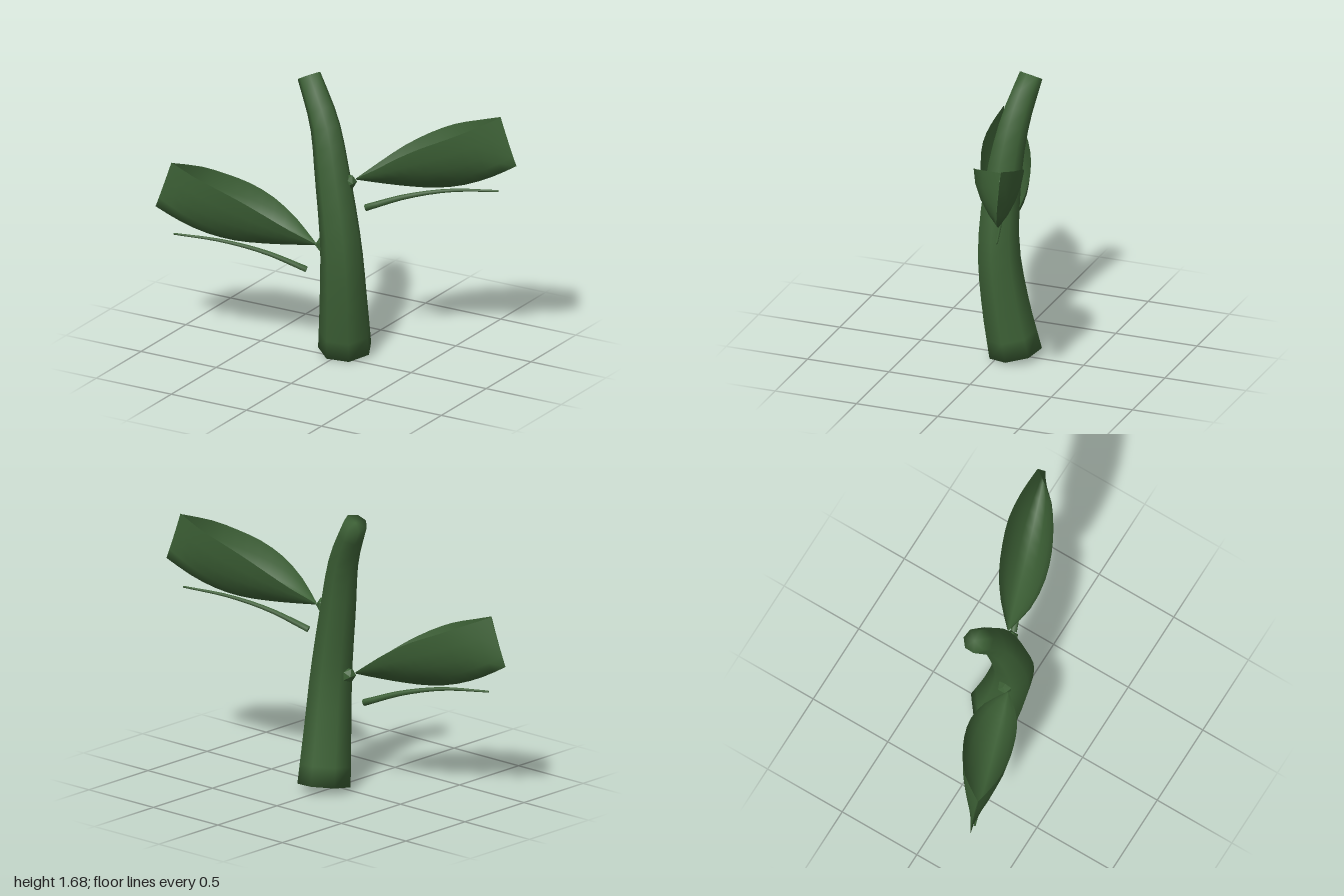
import * as THREE from 'three';

const green = new THREE.MeshStandardMaterial({ color: 0x3d6136, side: THREE.DoubleSide });
green.name = 'leafGreen';

const curve = (pts) => new THREE.CatmullRomCurve3(pts.map((p) => new THREE.Vector3(...p)));

function meshFrom(positions, index, name) {
  const g = new THREE.BufferGeometry();
  g.setAttribute('position', new THREE.Float32BufferAttribute(positions, 3));
  g.setIndex(index);
  g.computeVertexNormals();
  const mesh = new THREE.Mesh(g, green);
  mesh.name = name;
  return mesh;
}

// Tapered tube with softly shaded, closed ends
function taperedTube(path, radius, sides, steps, name) {
  const pos = [], idx = [];
  for (let i = 0; i <= steps; i++) {
    const t = i / steps;
    const c = path.getPoint(t), dir = path.getTangent(t);
    const u = new THREE.Vector3(0, 0, 1).projectOnPlane(dir).normalize();
    const v = dir.clone().cross(u);
    for (let j = 0; j < sides; j++) {
      const a = Math.PI / 2 + (j / sides) * Math.PI * 2, r = radius(t);
      pos.push(...c.clone().addScaledVector(u, r * Math.cos(a)).addScaledVector(v, r * Math.sin(a)));
    }
  }
  const id = (i, j) => i * sides + (j % sides);
  const first = (steps + 1) * sides;
  pos.push(...path.getPoint(0), ...path.getPoint(1));
  for (let j = 0; j < sides; j++) {
    for (let i = 0; i < steps; i++) {
      idx.push(id(i, j), id(i, j + 1), id(i + 1, j + 1), id(i, j), id(i + 1, j + 1), id(i + 1, j));
    }
    idx.push(first, id(0, j + 1), id(0, j), first + 1, id(steps, j), id(steps, j + 1));
  }
  return meshFrom(pos, idx, name);
}

// Trough-shaped blade: two rims joined through a rounded keel, pinched shut at the tip
function leafBlade() {
  const rimFront = curve([[0.1, 1.1, -0.055], [0.26, 1.2, 0], [0.41, 1.3, 0], [0.545, 1.375, -0.04],
    [0.67, 1.43, -0.105], [0.78, 1.48, -0.19], [0.89, 1.53, -0.34]]);
  const rimBack = curve([[0.1, 1.1, -0.065], [0.2, 1.19, -0.17], [0.31, 1.28, -0.25], [0.445, 1.365, -0.31],
    [0.58, 1.43, -0.35], [0.73, 1.48, -0.36], [0.89, 1.535, -0.345]]);
  const keel = curve([[0.1, 1.09, -0.06], [0.25, 1.08, -0.11], [0.4, 1.075, -0.16], [0.55, 1.08, -0.21],
    [0.7, 1.11, -0.26], [0.85, 1.17, -0.31], [0.99, 1.25, -0.355]]);
  const steps = 12, half = 4, cols = half * 2 + 1, pos = [], idx = [];
  for (let i = 0; i <= steps; i++) {
    const t = i / steps, k = keel.getPoint(t);
    const side = (rim) => {
      const r = rim.getPoint(t), c = r.clone().lerp(k, 0.65);
      c.z = r.z;
      return new THREE.QuadraticBezierCurve3(r, c, k).getPoints(half);
    };
    const row = [...side(rimFront), ...side(rimBack).reverse().slice(1)];
    row.forEach((p) => pos.push(p.x, p.y, p.z));
  }
  for (let i = 0; i < steps; i++) {
    for (let j = 0; j < cols - 1; j++) {
      const a = i * cols + j, b = a + cols;
      idx.push(a, a + 1, b + 1, a, b + 1, b);
    }
  }
  return meshFrom(pos, idx, 'leafBlade');
}

function leaf(name) {
  const group = new THREE.Group();
  group.name = name;
  group.add(leafBlade());

  // Thin rib hanging below the blade
  const ribPath = curve([[0.16, 0.93, -0.06], [0.38, 1.015, -0.14], [0.62, 1.07, -0.23], [0.89, 1.09, -0.32]]);
  group.add(taperedTube(ribPath, (t) => 0.02 - 0.014 * t, 6, 10, 'leafRib'));

  // Small node where the leaf meets the stalk
  const node = new THREE.Mesh(new THREE.IcosahedronGeometry(0.046, 0), green);
  node.name = 'leafNode';
  node.position.set(0.072, 1.085, -0.025);
  group.add(node);
  return group;
}

export function createModel() {
  const model = new THREE.Group();
  model.name = 'plantStalk';

  // Curved seven-sided stalk
  const stalkPath = curve([[0.012, 0.035, -0.085], [0.035, 0.35, -0.03], [0.04, 0.7, 0.008],
    [-0.02, 1.1, 0], [-0.095, 1.4, -0.035], [-0.23, 1.655, -0.085]]);
  model.add(taperedTube(stalkPath, (t) => 0.157 - 0.087 * t, 7, 14, 'stalk'));

  // Upper leaf, and the same leaf turned half around lower down
  const lower = leaf('lowerRightLeaf');
  lower.rotation.y = Math.PI;
  lower.position.y = -0.4;
  model.add(leaf('upperLeftLeaf'), lower);
  return model;
}
